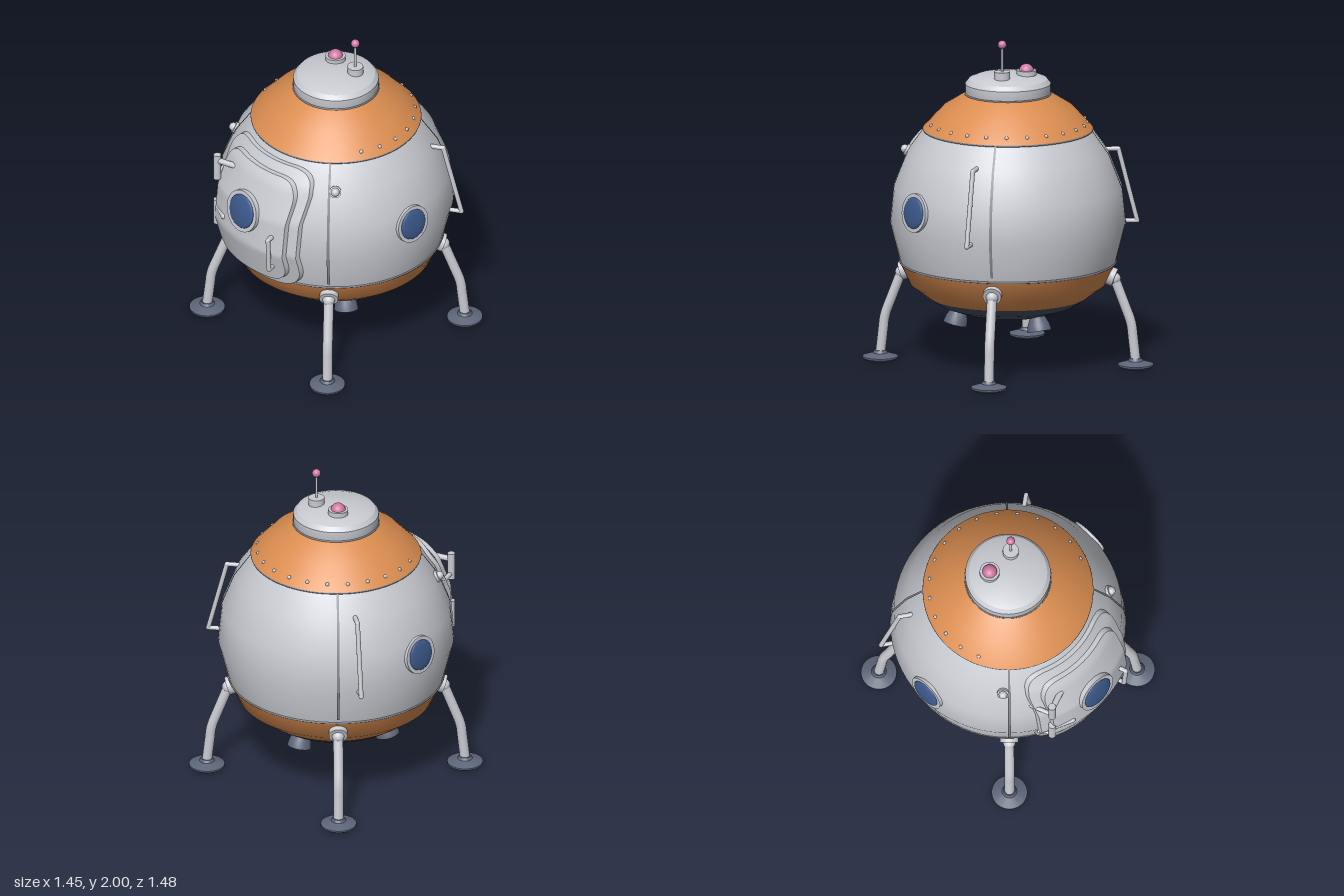
import * as THREE from 'three';
import { toCreasedNormals } from 'three/addons/utils/BufferGeometryUtils.js';

const mat = (name, color) => Object.assign(new THREE.MeshStandardMaterial({ color }), { name });
const V = (x, y, z) => new THREE.Vector3(x, y, z);

// Hull profile as [radius, height], bottom to top
const DOME = [[0, 0.305], [0.28, 0.325], [0.41, 0.372], [0.49, 0.425]];
const LOWER = [[0.49, 0.425], [0.587, 0.5], [0.648, 0.63]];
const MIDDLE = [[0.645, 0.63], [0.705, 0.87], [0.683, 1.09], [0.6, 1.3], [0.5, 1.44]];
const UPPER = [[0.51, 1.44], [0.39, 1.57], [0.254, 1.655]];
const CAP = [[0.25, 1.64], [0.256, 1.66], [0.256, 1.715], [0.235, 1.742], [0.19, 1.76], [0, 1.78]];
const HULL = [...DOME, ...LOWER.slice(1, 2), ...MIDDLE, ...UPPER.slice(1)];

// Hull radius at a height
function radiusAt(y) {
  for (let i = 1; i < HULL.length; i++) {
    const [r0, y0] = HULL[i - 1], [r1, y1] = HULL[i];
    if (y <= y1) return r0 + (r1 - r0) * (y - y0) / (y1 - y0);
  }
  return 0.25;
}

// Point at an angle around the hull (0 = front, PI/2 = +x), lifted off its surface
function onHull(phi, y, lift = 0) {
  const r = radiusAt(y) + lift;
  return V(r * Math.sin(phi), y, r * Math.cos(phi));
}

const lathe = (pts, seg = 72, start = 0, len = Math.PI * 2) =>
  new THREE.LatheGeometry(pts.map(p => new THREE.Vector2(...p)), seg, start, len);

// Rounded-rectangle panel that follows the hull, with a side wall back to the surface
function hullPanel(halfW, y0, y1, corner, lift) {
  const cy = (y0 + y1) / 2, h = (y1 - y0) / 2, w = halfW, c = corner;
  const s = new THREE.Shape();
  s.moveTo(w, -h + c).lineTo(w, h - c).quadraticCurveTo(w, h, w - c, h);
  s.lineTo(-w + c, h).quadraticCurveTo(-w, h, -w, h - c);
  s.lineTo(-w, -h + c).quadraticCurveTo(-w, -h, -w + c, -h);
  s.lineTo(w - c, -h).quadraticCurveTo(w, -h, w, -h + c);
  const N = 112, K = 14, outline = s.getSpacedPoints(N).slice(0, N);
  const pos = [], idx = [];
  for (let k = 0; k <= K + 1; k++) {
    const f = Math.min(k / K, 1), l = k > K ? -0.01 : lift;
    for (const p of outline) {
      const x = p.x * f, y = cy + p.y * f, r = radiusAt(y) + l;
      pos.push(x, y, Math.sqrt(r * r - x * x));
    }
  }
  for (let k = 0; k <= K; k++) for (let i = 0; i < N; i++) {
    const j = (i + 1) % N, a = k * N, b = a + N;
    idx.push(a + i, b + i, b + j);
    if (k > 0) idx.push(a + i, b + j, a + j);
  }
  const g = new THREE.BufferGeometry();
  g.setAttribute('position', new THREE.Float32BufferAttribute(pos, 3));
  g.setIndex(idx);
  return toCreasedNormals(g, 0.6);
}

export function createModel() {
  const hullGrey = mat('hull grey', 0xc9cbd2);
  const orange = mat('orange', 0xdb8d50);
  const slate = mat('slate', 0x5d6579);
  const heatShield = mat('heat shield', 0x4a5060);
  const seamGrey = mat('seam grey', 0x82858d);
  const glassBlue = mat('glass blue', 0x3c5a8c);
  const pink = mat('pink', 0xd077a2);

  const root = new THREE.Group();
  root.name = 'landerCapsule';
  const ship = new THREE.Group();
  ship.name = 'lander';
  ship.position.z = -0.03;
  root.add(ship);

  const add = (name, geo, material, pos, parent = ship) => {
    const m = new THREE.Mesh(geo, material);
    m.name = name;
    if (pos) m.position.copy(pos);
    parent.add(m);
    return m;
  };
  const ball = (name, r, material, pos, parent) =>
    add(name, new THREE.SphereGeometry(r, 20, 14), material, pos, parent);
  const rod = (name, a, b, r, material = hullGrey) => {
    const m = add(name, new THREE.CylinderGeometry(r, r, a.distanceTo(b), 16), material,
      a.clone().add(b).multiplyScalar(0.5));
    m.quaternion.setFromUnitVectors(V(0, 1, 0), b.clone().sub(a).normalize());
    return m;
  };
  // Group on the hull whose local +z faces outwards, tilted up
  const mount = (name, phi, y, lift, tilt) => {
    const g = new THREE.Group();
    g.name = name;
    g.position.copy(onHull(phi, y, lift));
    g.rotation.set(-tilt, phi, 0, 'YXZ');
    ship.add(g);
    return g;
  };
  const disc = (name, r, depth, material, parent) => {
    const g = new THREE.CylinderGeometry(r, r, depth, 40).rotateX(Math.PI / 2);
    return add(name, g, material, V(0, 0, -depth / 2), parent);
  };

  // Hull
  add('heatShield', lathe(DOME), heatShield);
  add('lowerHull', lathe(LOWER), orange);
  add('middleHull', lathe(MIDDLE), hullGrey);
  add('upperHull', lathe(UPPER), orange);
  add('topCap', toCreasedNormals(lathe(CAP), 0.5), hullGrey);
  for (const [r, y] of [[0.504, 1.437], [0.645, 0.631], [0.254, 1.652]])
    add('trimRing', new THREE.TorusGeometry(r, 0.007, 8, 72).rotateX(Math.PI / 2), seamGrey, V(0, y, 0));

  // Vertical seams
  const seam = [[0, 0.66], ...MIDDLE.slice(1)].map(([, y]) => [radiusAt(y) + 0.007, y]);
  for (let i = 0; i < 4; i++)
    add('seam', lathe(seam, 1, Math.PI * (0.25 + i / 2) - 0.012, 0.024), seamGrey);

  // Rivets around the sides and back
  for (const side of [-1, 1]) for (let i = 0; i < 8; i++) {
    const phi = Math.PI - side * (7.5 + 15 * i) * Math.PI / 180;
    add('rivet', new THREE.SphereGeometry(0.012, 10, 8), hullGrey, onHull(phi, 1.478, 0.003));
  }

  // Door
  add('doorFrame', hullPanel(0.36, 0.62, 1.4, 0.17, 0.026), hullGrey);
  add('door', hullPanel(0.305, 0.665, 1.35, 0.14, 0.055), hullGrey);

  // Portholes
  const porthole = (phi, y, lift, r, tilt) => {
    const g = mount('porthole', phi, y, lift, tilt);
    disc('portholeRing', r, 0.05, hullGrey, g);
    const glass = ball('portholeGlass', r * 0.81, glassBlue, V(0, 0, 0), g);
    glass.scale.z = 0.018 / (r * 0.81);
  };
  porthole(0, 1.08, 0.066, 0.13, 0.2);
  for (const s of [-1, 1]) porthole(s * Math.PI / 2, 1.01, 0.012, 0.117, 0.12);

  // Grab handles
  const handle = (name, phi, yTop, yBottom, base, out) => {
    const p = [onHull(phi, yTop, base), onHull(phi, yTop, out), onHull(phi, yBottom, out), onHull(phi, yBottom, base)];
    for (let i = 0; i < 3; i++) rod(name, p[i], p[i + 1], 0.014);
    for (const i of [1, 2]) ball(name + 'Joint', 0.014, hullGrey, p[i]);
  };
  handle('doorHandle', 0.31, 0.99, 0.775, 0.03, 0.095);
  for (const s of [-1, 1]) handle('grabHandle', s * 2.18, 1.31, 0.87, -0.02, 0.068);

  // Hinges
  for (const [y, armZ, backZ] of [[1.21, 0.63, 0.53], [0.89, 0.725, 0.6]]) {
    const z = 0.672;
    rod('hingePin', V(-0.31, y - 0.085, z), V(-0.31, y + 0.085, z), 0.023);
    rod('hingeArm', V(-0.31, y + 0.045, z), V(-0.19, y + 0.045, armZ), 0.018);
    ball('hingeArmEnd', 0.018, hullGrey, V(-0.19, y + 0.045, armZ));
    rod('hingeBracket', V(-0.31, y - 0.05, z), V(-0.36, y - 0.05, backZ), 0.014);
  }

  // Side lamps at the front
  for (const s of [-1, 1]) {
    const g = mount('sideLamp', s * 0.845, 1.3, 0.015, 0.5);
    disc('lampBase', 0.036, 0.04, hullGrey, g);
    ball('lampBulb', 0.026, hullGrey, V(0, 0, 0.004), g);
  }

  // Legs with collars and feet
  const foot = toCreasedNormals(lathe([[0, 0], [0.09, 0], [0.107, 0.012], [0.107, 0.022], [0.045, 0.042], [0.035, 0.058], [0, 0.058]], 40), 0.5);
  for (let i = 0; i < 4; i++) {
    const phi = Math.PI * (0.25 + i / 2), sx = Math.sin(phi), cz = Math.cos(phi);
    const at = (r, y) => V(r * sx, y, r * cz);
    const collar = mount('legCollar', phi, 0.545, 0.04, -0.35);
    disc('collar', 0.056, 0.08, hullGrey, collar);
    const path = new THREE.CurvePath();
    path.add(new THREE.LineCurve3(at(0.645, 0.54), at(0.725, 0.33)));
    path.add(new THREE.QuadraticBezierCurve3(at(0.725, 0.33), at(0.75, 0.27), at(0.753, 0.21)));
    path.add(new THREE.LineCurve3(at(0.753, 0.21), at(0.772, 0.04)));
    add('leg', new THREE.TubeGeometry(path, 24, 0.03, 16), hullGrey);
    ball('legShoulder', 0.037, hullGrey, at(0.645, 0.54));
    add('foot', foot, slate, at(0.772, 0));
  }

  // Thrusters
  const nozzle = toCreasedNormals(lathe([[0, -0.015], [0.06, -0.05], [0.073, -0.05], [0.066, -0.01], [0.046, 0.035], [0.03, 0.06]], 32), 0.6);
  for (let i = 0; i < 3; i++) {
    const pivot = new THREE.Group();
    pivot.name = 'thruster';
    pivot.rotation.y = Math.PI + i * Math.PI * 2 / 3;
    ship.add(pivot);
    add('nozzle', nozzle, slate, V(0, 0.3, 0.305), pivot).rotation.x = -0.25;
  }

  // Beacon and antenna on the cap
  const cyl = (r, h) => new THREE.CylinderGeometry(r, r, h, 28);
  add('beaconBase', cyl(0.06, 0.03), hullGrey, V(-0.085, 1.782, -0.07));
  ball('beacon', 0.045, pink, V(-0.085, 1.79, -0.07));
  add('antennaBase', cyl(0.048, 0.05), hullGrey, V(0.095, 1.785, -0.07));
  add('antennaRod', cyl(0.007, 0.17), hullGrey, V(0.095, 1.885, -0.07));
  ball('antennaTip', 0.026, pink, V(0.095, 1.974, -0.07));

  return root;
}
